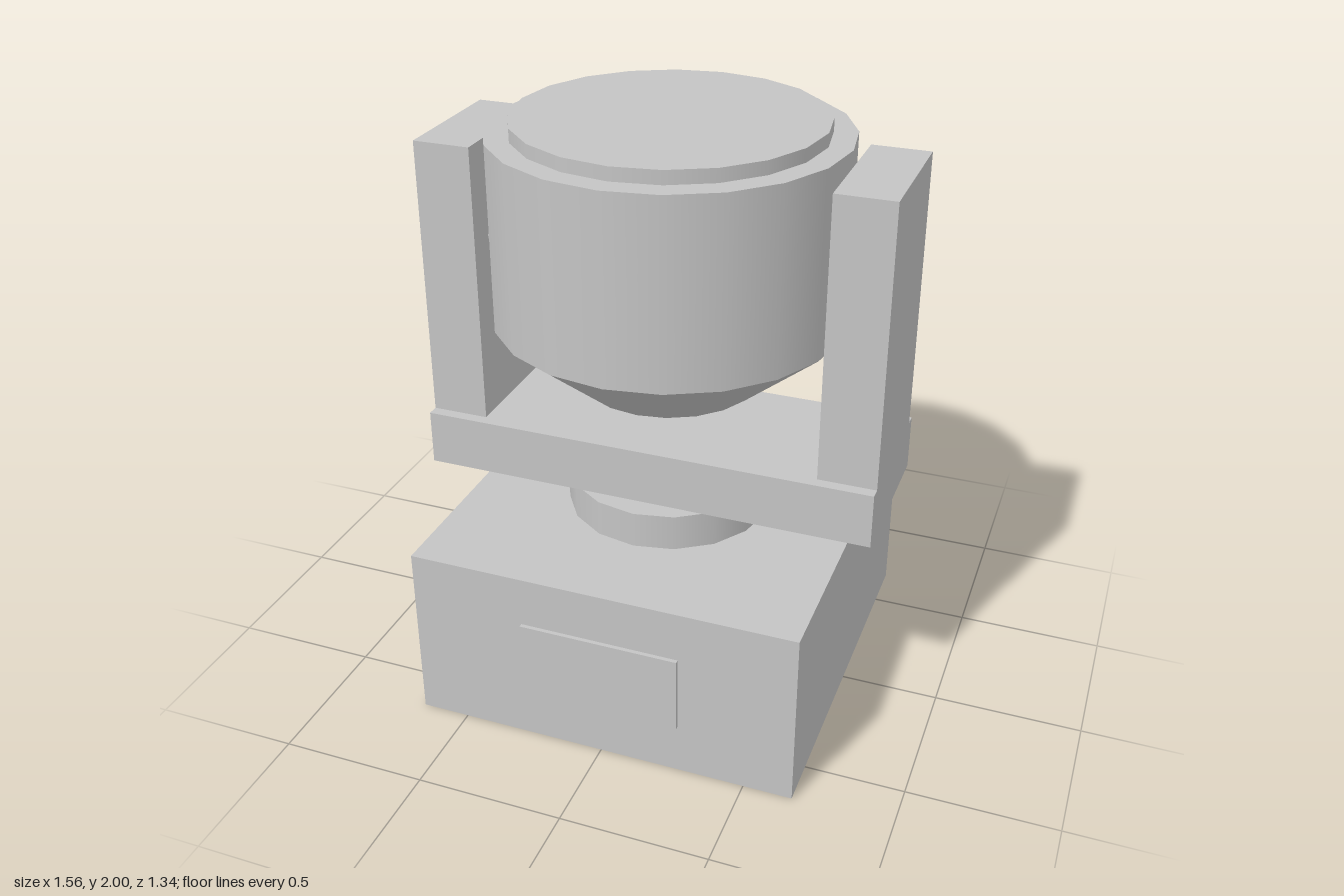
import * as THREE from 'three';

export function createModel() {
  const model = new THREE.Group();
  model.name = 'movingHeadLamp';
  const grey = new THREE.MeshStandardMaterial({ color: 0xc4c4c4 });
  grey.name = 'plain grey';
  const Z = -0.007; // shared centre line, set back by the front plate

  const add = (name, geometry, x, y, z = Z) => {
    const mesh = new THREE.Mesh(geometry, grey);
    mesh.name = name;
    mesh.position.set(x, y, z);
    model.add(mesh);
    return mesh;
  };
  // Box and round parts given by their bottom and top heights
  const box = (name, w, y0, y1, d, x = 0, z = Z) =>
    add(name, new THREE.BoxGeometry(w, y1 - y0, d), x, (y0 + y1) / 2, z);
  const round = (name, rTop, rBottom, y0, y1, sides = 20) =>
    add(name, new THREE.CylinderGeometry(rTop, rBottom, y1 - y0, sides), 0, (y0 + y1) / 2);

  // Base with display plate on the front
  box('base', 1.33, 0, 0.625, 1.33);
  box('displayPlate', 0.545, 0.18, 0.45, 0.02, 0, 0.662);

  // Pan bearing and yoke
  round('panBearing', 0.352, 0.352, 0.625, 0.75, 16);
  box('yokeBar', 1.56, 0.75, 0.94, 0.545);
  for (const side of [-1, 1]) {
    box(side > 0 ? 'leftArm' : 'rightArm', 0.195, 0.94, 1.9, 0.467, side * 0.6825);
    // Tilt pivot between arm and head
    const pivot = add(side > 0 ? 'leftPivot' : 'rightPivot',
      new THREE.CylinderGeometry(0.137, 0.137, 0.1, 16), side * 0.55, 1.57);
    pivot.rotation.z = Math.PI / 2;
  }

  // Lamp head: tapered underside, drum and lens
  round('headTaper', 0.585, 0.31, 1.1, 1.33);
  round('headDrum', 0.585, 0.585, 1.33, 1.955);
  round('lens', 0.507, 0.507, 1.955, 2);

  return model;
}
